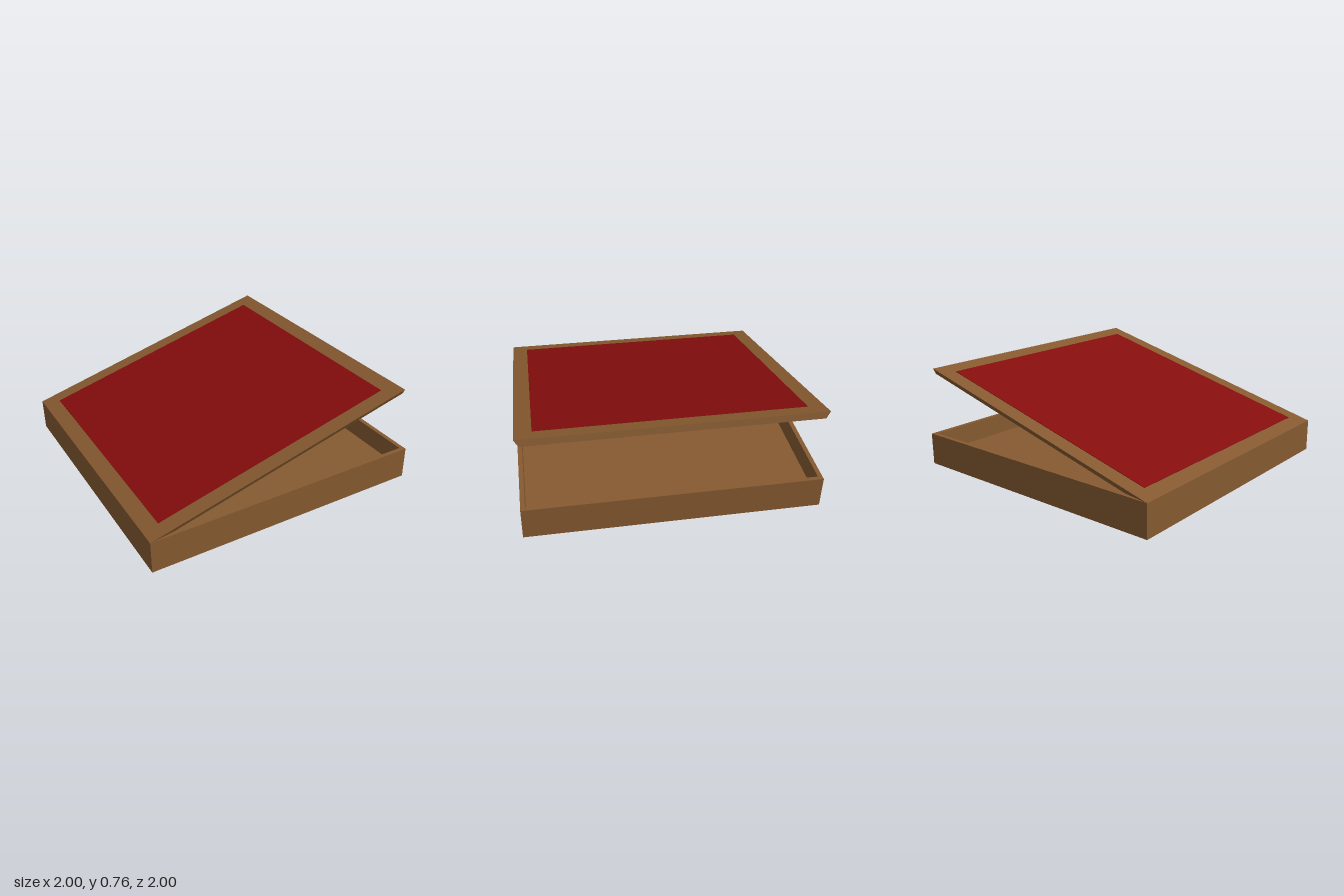
import * as THREE from 'three';

const wood = new THREE.MeshStandardMaterial({ color: 0x865a30 });
wood.name = 'brown wood';
const felt = new THREE.MeshStandardMaterial({ color: 0x850d0d });
felt.name = 'dark red';

const SIZE = 1.955, HEIGHT = 0.225, WALL = 0.03, FLOOR = 0.08;
const LID_LENGTH = 1.94, LID_THICK = 0.045, MARGIN = 0.11;

function add(parent, name, geometry, material, x = 0, y = 0, z = 0) {
  const mesh = new THREE.Mesh(geometry, material);
  mesh.name = name;
  mesh.position.set(x, y, z);
  parent.add(mesh);
  return mesh;
}

// counter-clockwise square, half-width h
const square = (h) => [[-h, -h], [h, -h], [h, h], [-h, h]].map(([x, y]) => new THREE.Vector2(x, y));

export function createModel() {
  const model = new THREE.Group();
  model.name = 'openBox';

  // the whole box rests at a slight tilt
  const box = new THREE.Group();
  box.name = 'tiltedBox';
  const ax = new THREE.Vector3(1, 0.0066, 0.0205).normalize();
  const az = new THREE.Vector3(-0.0205, 0.018, 1).normalize();
  const ay = new THREE.Vector3().crossVectors(az, ax).normalize();
  az.crossVectors(ax, ay);
  box.quaternion.setFromRotationMatrix(new THREE.Matrix4().makeBasis(ax, ay, az));
  box.position.y = 0.025;
  model.add(box);

  // tray: a ring of walls around a raised floor
  const ring = new THREE.Shape(square(SIZE / 2));
  ring.holes.push(new THREE.Path(square(SIZE / 2 - WALL).reverse()));
  const walls = new THREE.ExtrudeGeometry(ring, { depth: HEIGHT, bevelEnabled: false });
  walls.rotateX(-Math.PI / 2);
  add(box, 'trayWalls', walls, wood);
  const inner = SIZE - 2 * WALL;
  add(box, 'trayFloor', new THREE.BoxGeometry(inner, FLOOR, inner), wood, 0, FLOOR / 2, 0);

  // lid hinged on the right-hand top edge of the tray
  const lid = new THREE.Group();
  lid.name = 'lid';
  lid.position.set(-SIZE / 2, HEIGHT, 0);
  lid.rotation.z = THREE.MathUtils.degToRad(14.6);
  box.add(lid);

  // lid board, its front and back edges sloping inward to the underside
  const board = new THREE.BoxGeometry(LID_LENGTH, LID_THICK, SIZE);
  const p = board.attributes.position;
  for (let i = 0; i < p.count; i++) {
    if (p.getY(i) < 0) p.setZ(i, p.getZ(i) - Math.sign(p.getZ(i)) * 0.028);
  }
  board.computeVertexNormals();
  add(lid, 'lidBoard', board, wood, LID_LENGTH / 2, -LID_THICK / 2, 0);

  // thin red panel on the lid
  const panel = new THREE.BoxGeometry(LID_LENGTH - 2 * MARGIN, 0.004, SIZE - 2 * MARGIN);
  add(lid, 'lidPanel', panel, felt, LID_LENGTH / 2, 0.001, 0);

  return model;
}
